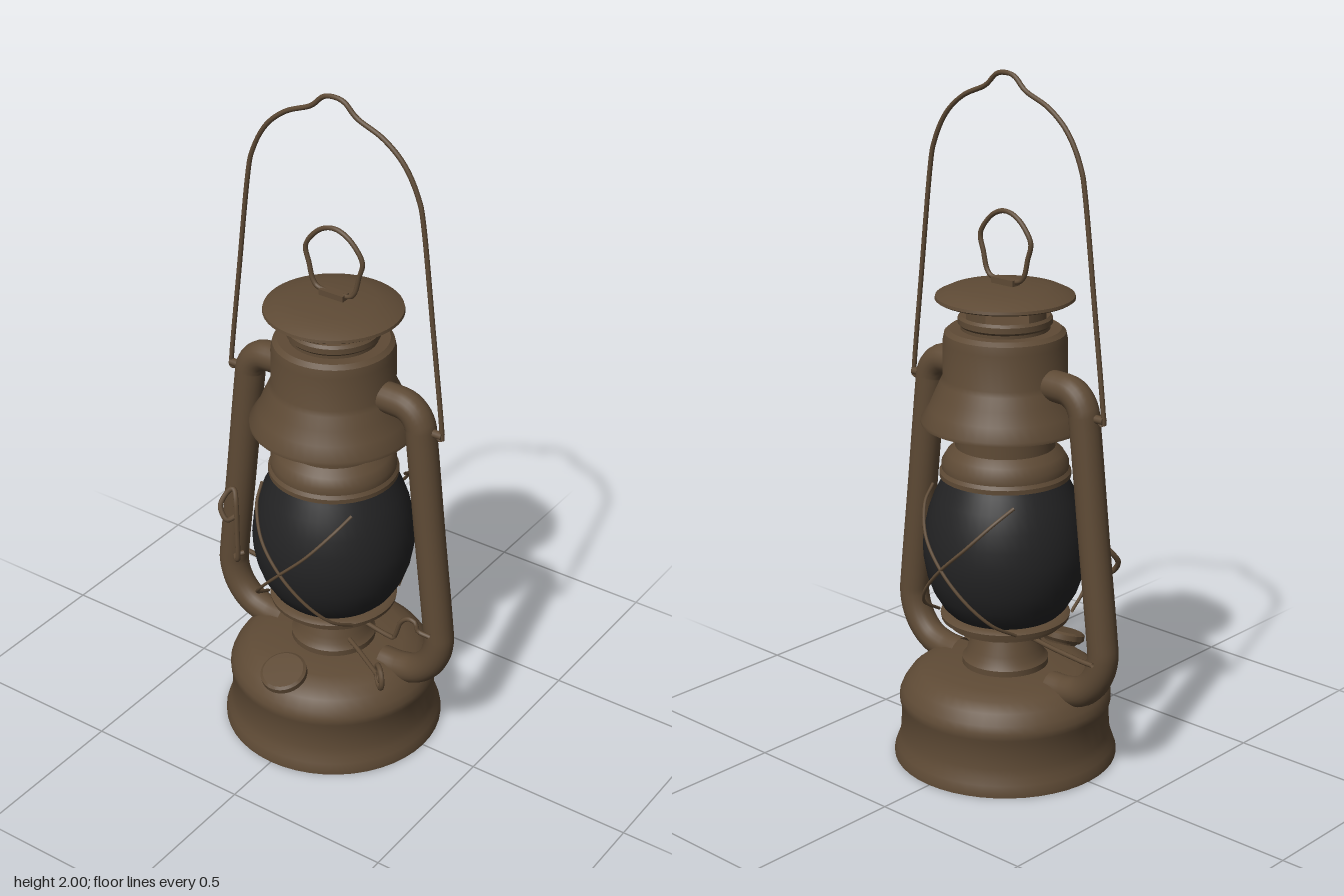
import * as THREE from 'three';
import { toCreasedNormals } from 'three/addons/utils/BufferGeometryUtils.js';

const metal = new THREE.MeshStandardMaterial({ color: 0x5e4a35, side: THREE.DoubleSide });
metal.name = 'brown metal';
const glass = new THREE.MeshStandardMaterial({ color: 0x232324, side: THREE.DoubleSide });
glass.name = 'smoked glass';

export function createModel() {
  const model = new THREE.Group();
  model.name = 'oilLantern';

  const add = (name, geometry, material = metal, parent = model) => {
    const mesh = new THREE.Mesh(geometry, material);
    mesh.name = name;
    parent.add(mesh);
    return mesh;
  };
  // Turned part from [radius, height] pairs, bottom to top
  const turned = (name, profile, material = metal, parent = model) => {
    const lathe = new THREE.LatheGeometry(profile.map(([r, y]) => new THREE.Vector2(r, y)), 48);
    return add(name, toCreasedNormals(lathe, 0.6), material, parent);
  };
  // Bent tube or wire through points
  const wire = (name, points, radius = 0.007, closed = false, sides = 8, tension = 0.5) => {
    const curve = new THREE.CatmullRomCurve3(
      points.map((p) => new THREE.Vector3(...p)), closed, 'catmullrom', tension);
    return add(name, new THREE.TubeGeometry(curve, points.length * 8, radius, sides, closed));
  };

  // Fuel tank
  turned('fuelTank', [
    [0, 0.012], [0.31, 0.012], [0.315, 0], [0.325, 0.002], [0.325, 0.014], [0.318, 0.035],
    [0.31, 0.055], [0.305, 0.08], [0.302, 0.155], [0.308, 0.17], [0.308, 0.19], [0.3, 0.21],
    [0.28, 0.24], [0.25, 0.262], [0.21, 0.275], [0.125, 0.283], [0, 0.283],
  ]);

  // Burner and globe gallery
  turned('burner', [
    [0.125, 0.27], [0.125, 0.3], [0.112, 0.315], [0.108, 0.335], [0.085, 0.38], [0.08, 0.41],
    [0.16, 0.41],
  ]);
  turned('globeGallery', [
    [0.08, 0.408], [0.165, 0.408], [0.168, 0.424], [0.185, 0.426], [0.187, 0.438],
    [0.175, 0.446], [0.15, 0.446],
  ]);

  // Glass globe
  turned('globe', [
    [0.155, 0.44], [0.18, 0.465], [0.207, 0.51], [0.225, 0.56], [0.234, 0.61], [0.236, 0.65],
    [0.231, 0.7], [0.22, 0.75], [0.202, 0.8], [0.182, 0.84], [0.172, 0.86],
  ], glass);

  // Chimney collar above the globe
  turned('chimney', [
    [0.17, 0.855], [0.187, 0.857], [0.187, 0.87], [0.18, 0.88], [0.18, 0.9], [0.165, 0.925],
    [0.142, 0.945], [0.14, 1.12],
  ]);

  // Flared hood
  turned('hood', [
    [0.14, 1.12], [0.17, 1.12], [0.187, 1.09], [0.23, 1.022], [0.238, 1.014], [0.238, 1.024],
    [0.215, 1.06], [0.198, 1.1], [0.182, 1.135], [0.175, 1.15], [0.175, 1.25], [0.17, 1.275],
    [0.157, 1.286], [0.12, 1.286],
  ]);

  // Vent collar with four posts and open windows
  turned('ventCollar', [
    [0.1, 1.28], [0.125, 1.28], [0.125, 1.295], [0.132, 1.302], [0.132, 1.318], [0.125, 1.326],
    [0.105, 1.326], [0, 1.326],
  ]);
  for (let i = 0; i < 4; i++) {
    const post = new THREE.CylinderGeometry(0.125, 0.125, 0.06, 8, 1, true,
      i * Math.PI / 2 - 0.29, 0.58);
    add('ventPost', post).position.y = 1.348;
  }
  turned('ventRim', [[0.118, 1.362], [0.13, 1.362], [0.13, 1.38]]);

  // Cap with a wide brim
  turned('cap', [
    [0, 1.376], [0.13, 1.376], [0.19, 1.368], [0.196, 1.372], [0.194, 1.38], [0.165, 1.394],
    [0.12, 1.403], [0.05, 1.41], [0, 1.41],
  ]);

  // Lifting ring and its bracket
  add('ringBracket', new THREE.BoxGeometry(0.08, 0.02, 0.03)).position.y = 1.417;
  wire('liftingRing', [
    [-0.04, 1.422, 0], [-0.068, 1.44, 0], [-0.082, 1.49, 0], [-0.093, 1.54, 0],
    [-0.06, 1.588, 0], [-0.02, 1.612, 0], [0.02, 1.612, 0], [0.06, 1.588, 0],
    [0.093, 1.54, 0], [0.082, 1.49, 0], [0.068, 1.44, 0], [0.04, 1.422, 0],
  ], 0.007, true);

  // Carrying handle, mirrored about the middle
  const half = [
    [0.335, 1.09, 0], [0.35, 1.08, 0], [0.358, 1.1, 0], [0.322, 1.4, 0], [0.286, 1.69, 0],
    [0.265, 1.78, 0], [0.22, 1.86, 0], [0.155, 1.915, 0], [0.075, 1.95, 0], [0.035, 1.985, 0],
  ];
  wire('handle', [
    ...half.map(([x, y, z]) => [-x, y, z]), [0, 1.993, 0], ...[...half].reverse(),
  ], 0.007);

  for (const s of [-1, 1]) {
    // Side air tubes
    wire('airTube', [
      [0.13, 1.152, 0], [0.2, 1.153, 0], [0.25, 1.146, 0], [0.284, 1.11, 0], [0.296, 1.04, 0],
      [0.33, 0.74, 0], [0.362, 0.47, 0], [0.367, 0.39, 0], [0.345, 0.325, 0],
      [0.3, 0.278, 0], [0.24, 0.258, 0], [0.18, 0.255, 0],
    ].map(([x, y, z]) => [s * x, y, z]), 0.044, false, 20);

    // Handle pivots
    const pivot = add('handlePivot', new THREE.CylinderGeometry(0.012, 0.012, 0.07, 10));
    pivot.rotation.z = Math.PI / 2;
    pivot.position.set(s * 0.325, 1.09, 0);

    // Crossed globe guards, front and back
    for (const side of [-1, 1]) {
      wire('globeGuard', [
        [0.155, 0.825, 0.135], [0.13, 0.785, 0.195], [0.075, 0.715, 0.247], [0, 0.64, 0.267],
        [-0.075, 0.56, 0.25], [-0.13, 0.49, 0.2], [-0.15, 0.44, 0.12],
      ].map(([x, y, z]) => [s * x, y, side * z]), 0.005, false, 6);
    }
  }

  // Globe lifting rod with its bent lever
  wire('liftRod', [
    [-0.38, 0.398, -0.06], [-0.32, 0.397, -0.055], [-0.15, 0.397, -0.03], [0.1, 0.397, 0.03],
    [0.235, 0.397, 0.055], [0.255, 0.41, 0.057], [0.275, 0.465, 0.06], [0.3, 0.488, 0.06],
    [0.325, 0.485, 0.06], [0.335, 0.46, 0.06], [0.37, 0.452, 0.055],
  ], 0.007);

  // Thumb loop beside the right air tube
  wire('thumbLoop', [
    [-0.3, 0.47, 0.04], [-0.315, 0.465, 0.06], [-0.292, 0.475, 0.08], [-0.292, 0.57, 0.08],
    [-0.297, 0.66, 0.075], [-0.315, 0.7, 0.06], [-0.335, 0.685, 0.07],
    [-0.34, 0.65, 0.095], [-0.315, 0.615, 0.1], [-0.298, 0.62, 0.07],
  ], 0.008);

  // Wick adjuster
  wire('wickShaft', [[0.05, 0.325, 0.03], [0.15, 0.325, 0.085], [0.25, 0.325, 0.145]], 0.007);
  const knob = add('wickKnob', new THREE.TorusGeometry(0.033, 0.008, 8, 20));
  knob.position.set(0.265, 0.325, 0.152);
  knob.rotation.y = -0.75;
  const hub = add('wickHub', new THREE.TorusGeometry(0.014, 0.006, 8, 12));
  hub.position.copy(knob.position);
  hub.rotation.copy(knob.rotation);

  // Tilted filler cap
  const filler = new THREE.Group();
  filler.name = 'fillerCap';
  filler.position.set(0, 0.285, 0.252);
  filler.rotation.x = 0.33;
  model.add(filler);
  turned('fillerNeck', [[0.045, -0.065], [0.045, -0.03], [0.055, -0.015]], metal, filler);
  turned('fillerLid', [
    [0, -0.018], [0.058, -0.018], [0.068, -0.008], [0.068, 0.008], [0.06, 0.014], [0, 0.016],
  ], metal, filler);

  return model;
}
